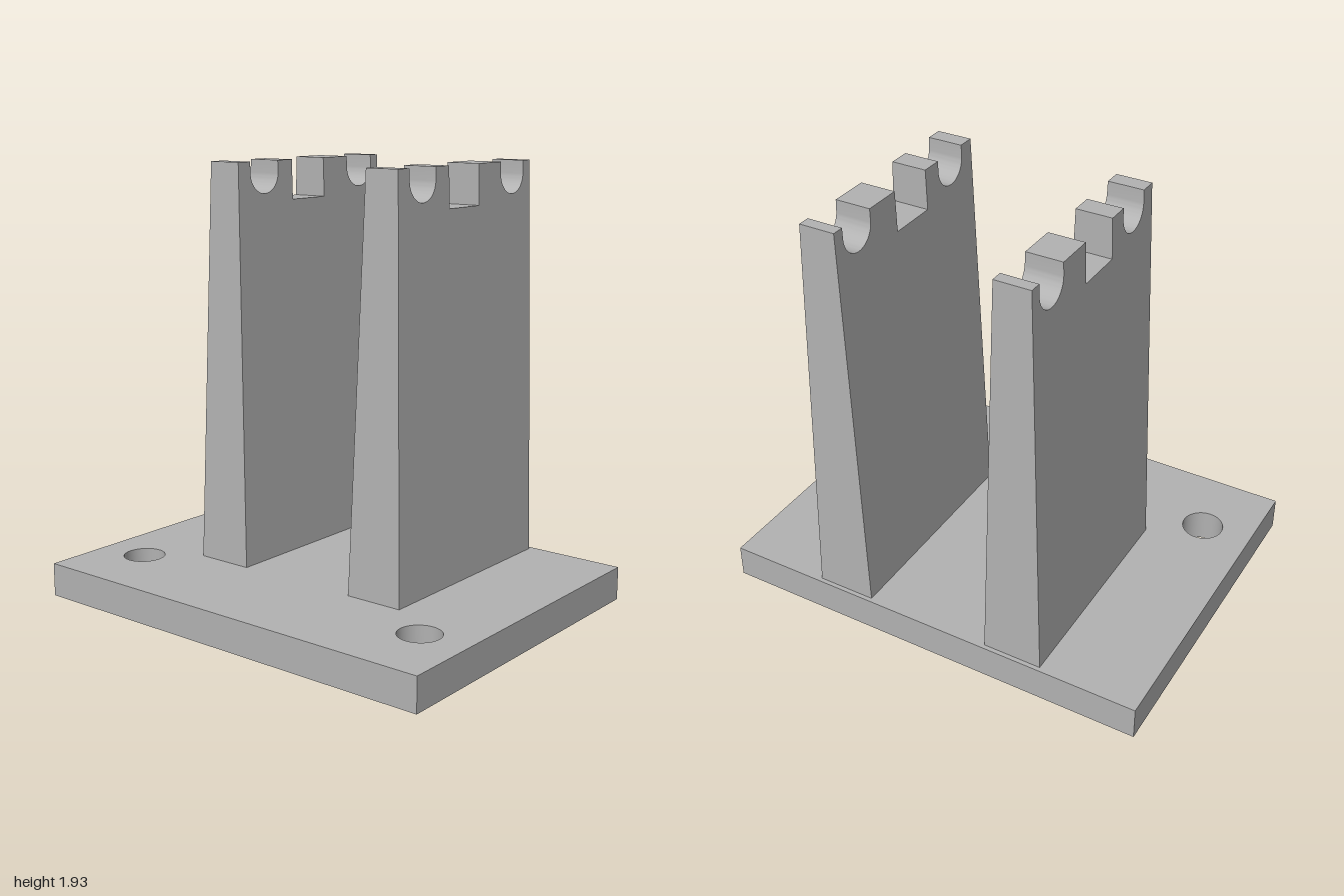
import * as THREE from 'three';
import { toCreasedNormals } from 'three/addons/utils/BufferGeometryUtils.js';

const grey = new THREE.MeshStandardMaterial({ color: 0xb2b2b2 });
grey.name = 'grey';

const BASE_TOP = 0.15, TOP = 1.93;

// Flat plate with two screw holes near the front edge
function createBase() {
  const shape = new THREE.Shape();
  shape.moveTo(-1, -0.77).lineTo(1, -0.77).lineTo(1, 0.77).lineTo(-1, 0.77).closePath();
  for (const side of [-1, 1]) {
    shape.holes.push(new THREE.Path().absarc(side * 0.77, -0.43, 0.093, 0, Math.PI * 2, true));
  }
  const geometry = new THREE.ExtrudeGeometry(shape, { depth: BASE_TOP, bevelEnabled: false, curveSegments: 24 });
  geometry.rotateX(-Math.PI / 2);
  const mesh = new THREE.Mesh(toCreasedNormals(geometry, 0.6), grey);
  mesh.name = 'basePlate';
  return mesh;
}

// Side profile of an upright; the shape's x runs towards the back
function uprightProfile() {
  const s = new THREE.Shape();
  const groove = (centre, r = 0.09) => {
    s.lineTo(centre + r, TOP);
    s.lineTo(centre + r, 1.88);
    s.absarc(centre, 1.88, r, 0, -Math.PI, true);
    s.lineTo(centre - r, TOP);
  };
  s.moveTo(-0.27, BASE_TOP);
  s.lineTo(0.75, BASE_TOP);
  s.lineTo(0.745, TOP);
  groove(0.602);
  // Square notch between the two round grooves
  s.lineTo(0.34, TOP);
  s.lineTo(0.34, 1.755);
  s.lineTo(0.12, 1.755);
  s.lineTo(0.12, TOP);
  groove(-0.065);
  s.lineTo(-0.23, TOP);
  s.closePath();
  return s;
}

// Upright wall, narrowing towards the top
function createUpright() {
  const geometry = new THREE.ExtrudeGeometry(uprightProfile(), { depth: 1, bevelEnabled: false, curveSegments: 20 });
  geometry.translate(0, 0, -0.5).rotateY(Math.PI / 2);
  const p = geometry.attributes.position;
  for (let i = 0; i < p.count; i++) {
    const t = (p.getY(i) - BASE_TOP) / (TOP - BASE_TOP);
    p.setX(i, p.getX(i) * THREE.MathUtils.lerp(0.266, 0.158, t));
  }
  return toCreasedNormals(geometry, 0.6);
}

export function createModel() {
  const model = new THREE.Group();
  model.name = 'twinUprightStand';
  model.add(createBase());
  const geometry = createUpright();
  for (const side of [-1, 1]) {
    const upright = new THREE.Mesh(geometry, grey);
    upright.name = side > 0 ? 'leftUpright' : 'rightUpright';
    upright.position.x = side * 0.42;
    model.add(upright);
  }
  return model;
}
